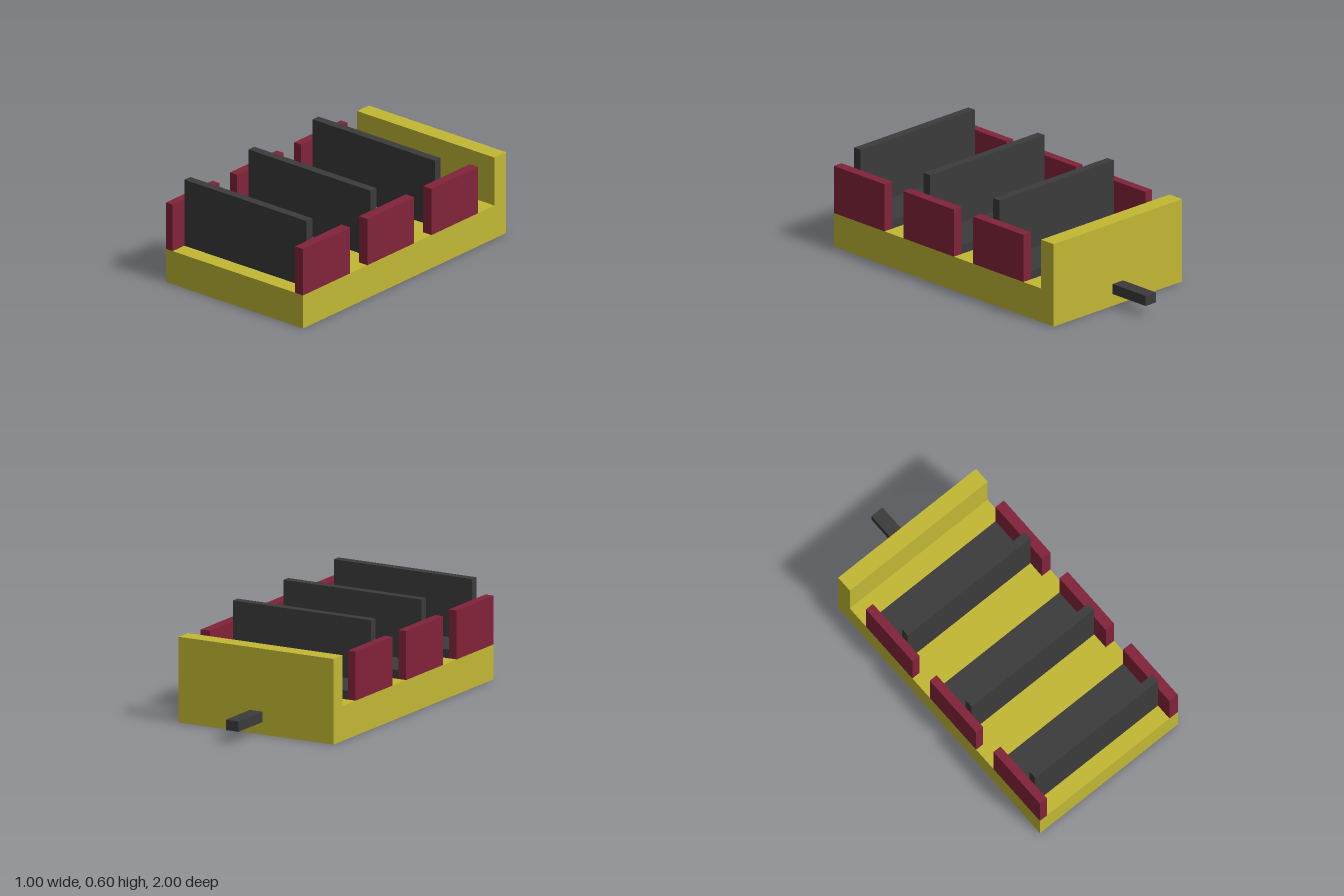
import * as THREE from 'three';

const material = (name, color) => {
  const m = new THREE.MeshStandardMaterial({ color });
  m.name = name;
  return m;
};

export function createModel() {
  const model = new THREE.Group();
  model.name = 'openRideCar';
  const yellow = material('yellow', 0xc2b834);
  const red = material('darkRed', 0x82233a);
  const grey = material('charcoal', 0x3b3b3b);

  // Box given by its lower and upper limits on each axis
  const box = (parent, name, mat, [x0, x1], [y0, y1], [z0, z1]) => {
    const mesh = new THREE.Mesh(new THREE.BoxGeometry(x1 - x0, y1 - y0, z1 - z0), mat);
    mesh.position.set((x0 + x1) / 2, (y0 + y1) / 2, (z0 + z1) / 2);
    mesh.name = name;
    parent.add(mesh);
  };

  // Chassis, end wall and coupling bar
  box(model, 'chassis', yellow, [-0.5, 0.5], [0, 0.2], [-0.74, 1]);
  box(model, 'endWall', yellow, [-0.5, 0.5], [0.2, 0.49], [-0.74, -0.64]);
  box(model, 'couplingBar', grey, [-0.04, 0.04], [0.07, 0.13], [-1, -0.74]);

  // Three benches, each with a cushion, a backrest and two side panels
  for (const z of [-0.5, 0.05, 0.6]) {
    const bench = new THREE.Group();
    bench.name = 'bench';
    bench.position.z = z;
    box(bench, 'seat', grey, [-0.45, 0.44], [0.2, 0.25], [0, 0.25]);
    box(bench, 'backrest', grey, [-0.45, 0.44], [0.2, 0.6], [0.25, 0.3]);
    box(bench, 'rightPanel', red, [-0.5, -0.45], [0.2, 0.48], [0, 0.4]);
    box(bench, 'leftPanel', red, [0.44, 0.5], [0.2, 0.48], [0, 0.4]);
    model.add(bench);
  }
  return model;
}
